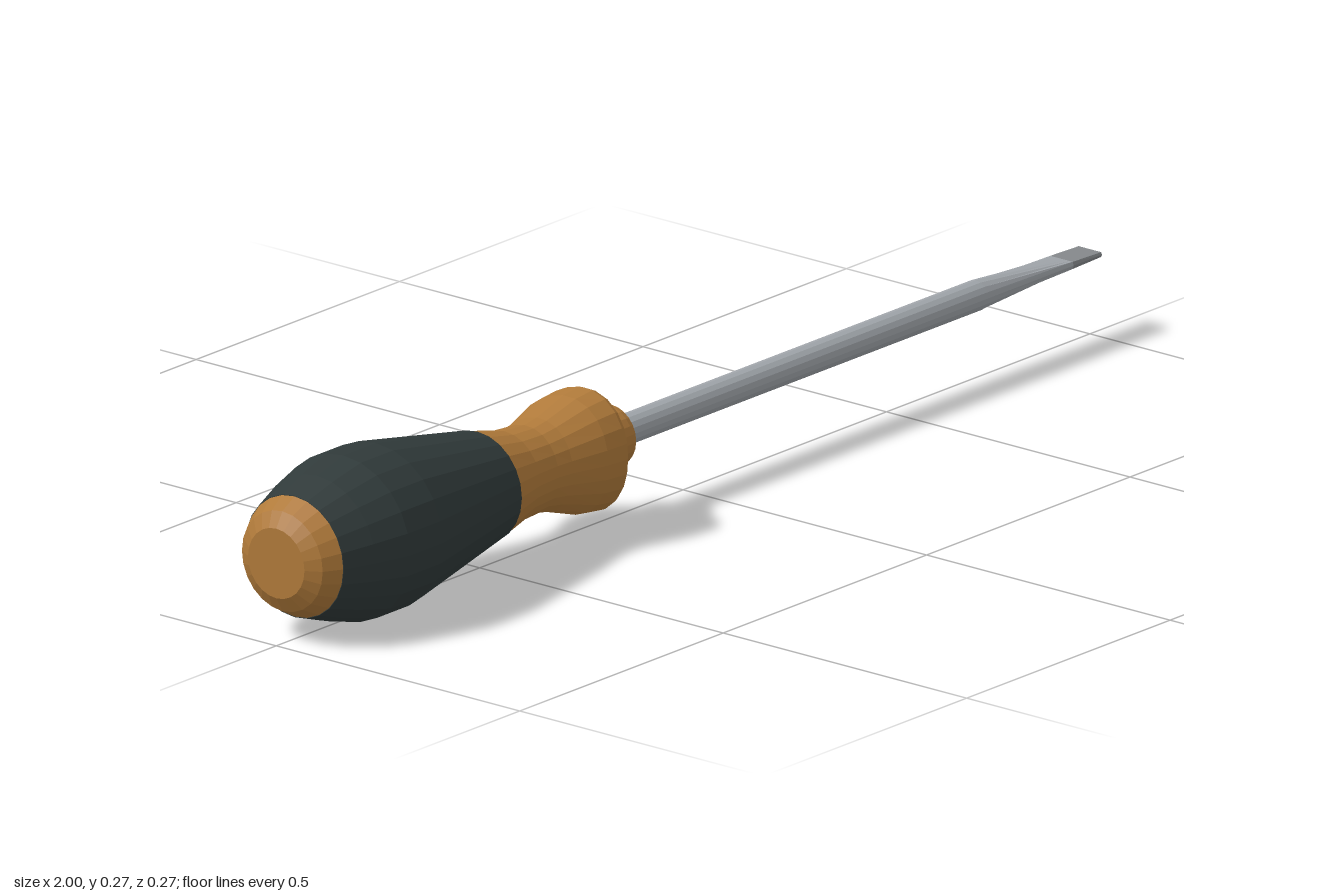
import * as THREE from 'three';

const AXIS_Y = 0.137;

// Flat-shaded skin through rings along x; section(ring, angle) returns [y, z]
function loft(rings, sides, section) {
  const pos = [], index = [];
  for (const ring of rings)
    for (let j = 0; j < sides; j++) {
      const [y, z] = section(ring, (j / sides) * Math.PI * 2);
      pos.push(ring[0], y, z);
    }
  const last = rings.length - 1;
  for (let i = 0; i < last; i++)
    for (let j = 0; j < sides; j++) {
      const k = (j + 1) % sides;
      const a = i * sides + j, b = i * sides + k;
      index.push(a, b, b + sides, a, b + sides, a + sides);
    }
  // end caps
  const c = pos.length / 3;
  pos.push(rings[0][0], 0, 0, rings[last][0], 0, 0);
  for (let j = 0; j < sides; j++) {
    const k = (j + 1) % sides;
    index.push(c, k, j, c + 1, last * sides + j, last * sides + k);
  }
  const g = new THREE.BufferGeometry();
  g.setAttribute('position', new THREE.Float32BufferAttribute(pos, 3));
  g.setIndex(index);
  const flat = g.toNonIndexed();
  flat.computeVertexNormals();
  return flat;
}

// Ring is [x, radius, lobe]: lobe pushes the circle into a rounded triangle
const round = ([, r, lobe = 0], t) => {
  const q = r * (1 + lobe * Math.sin(3 * t));
  return [q * Math.cos(t), q * Math.sin(t)];
};

// Ring is [x, halfThickness]: a rod ground flat above and below
const ROD = 0.025;
const ground = ([, h], t) => [
  THREE.MathUtils.clamp(ROD * Math.cos(t), -h, h),
  ROD * Math.sin(t),
];

export function createModel() {
  const amber = new THREE.MeshStandardMaterial({ color: 0xb07a3a });
  amber.name = 'amber';
  const rubber = new THREE.MeshStandardMaterial({ color: 0x303a3a });
  rubber.name = 'darkRubber';
  const steel = new THREE.MeshStandardMaterial({ color: 0xa0a5aa });
  steel.name = 'steel';
  const darkSteel = new THREE.MeshStandardMaterial({ color: 0x85898c });
  darkSteel.name = 'darkSteel';

  const model = new THREE.Group();
  model.name = 'screwdriver';
  const add = (name, geometry, material) => {
    const mesh = new THREE.Mesh(geometry, material);
    mesh.name = name;
    mesh.position.y = AXIS_Y;
    model.add(mesh);
  };

  // Handle, from butt to collar
  add('endCap', loft([[-1, 0.058], [-0.985, 0.083], [-0.955, 0.1]], 24, round), amber);
  add('grip', loft([
    [-0.955, 0.101], [-0.9, 0.12], [-0.835, 0.137], [-0.755, 0.137],
    [-0.63, 0.114], [-0.505, 0.091],
  ], 24, round), rubber);
  add('collar', loft([
    [-0.505, 0.09], [-0.44, 0.075, 0.01], [-0.39, 0.072, 0.02], [-0.36, 0.077, 0.03],
    [-0.295, 0.097, 0.04], [-0.255, 0.101, 0.045], [-0.247, 0.098, 0.045],
  ], 24, round), amber);
  add('neck', loft([[-0.25, 0.059], [-0.185, 0.053], [-0.175, 0.05]], 24, round), amber);

  // Blade, ground down to a flat tip
  add('shaft', loft([[-0.18, ROD], [0.72, ROD], [0.93, 0.006]], 16, ground), steel);
  add('tip', loft([[0.93, 0.006], [1, 0.004]], 16, ground), darkSteel);

  return model;
}
